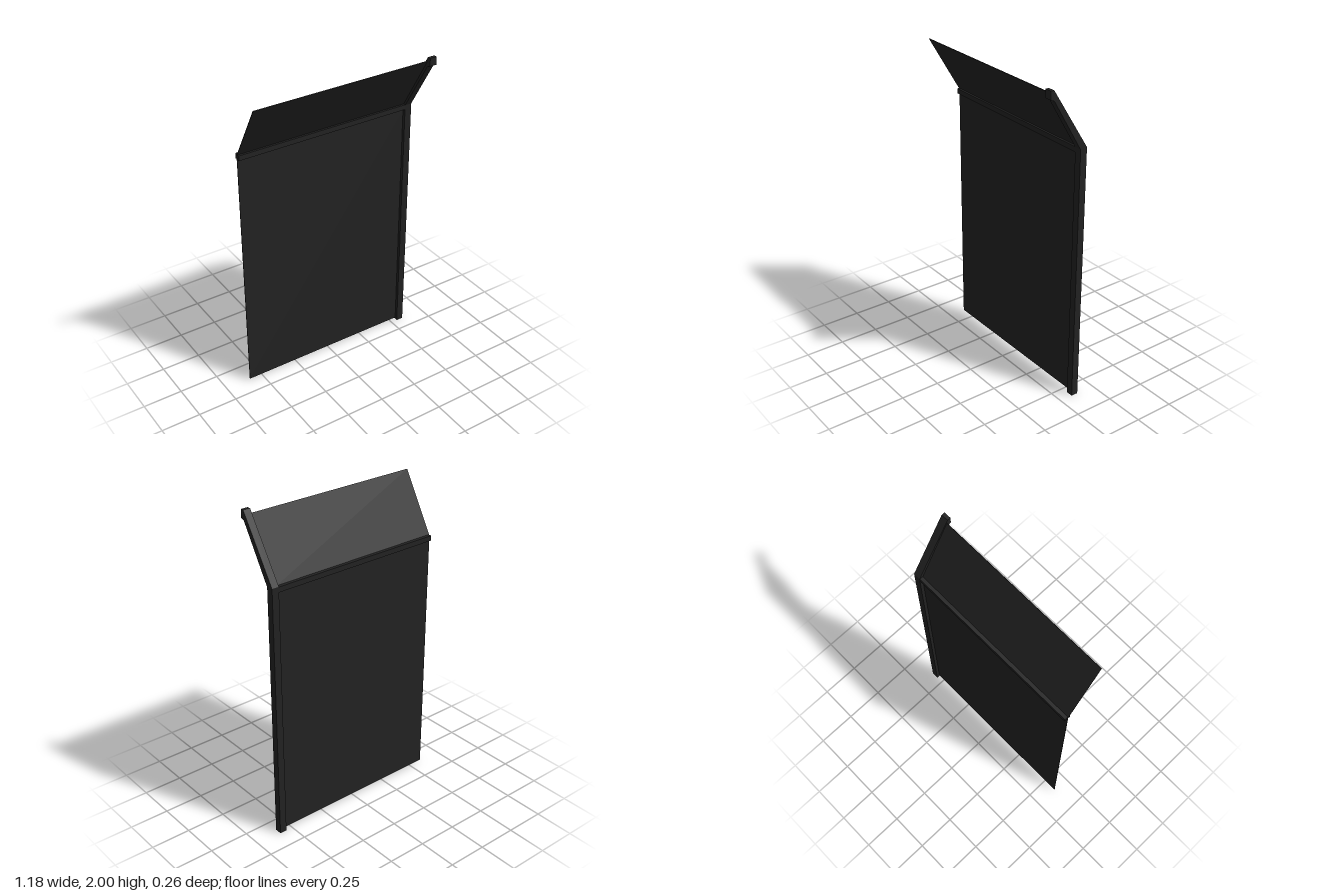
import * as THREE from 'three';

export function createModel() {
  const group = new THREE.Group();
  const charcoal = new THREE.MeshStandardMaterial({ color: 0x222222 });
  charcoal.name = 'charcoal';

  const add = (name, geometry) => {
    const mesh = new THREE.Mesh(geometry, charcoal);
    mesh.name = name;
    group.add(mesh);
    return mesh;
  };

  // Bent post with a small lip at its tip: side profile as (z, y), extruded along x
  const profile = [
    [-0.085, 0], [-0.085, 1.62], [0.105, 1.94], [0.129, 1.95], [0.129, 2],
    [0.108, 2], [0.097, 1.983], [-0.129, 1.625], [-0.129, 0],
  ].map(([z, y]) => new THREE.Vector2(z, y));
  const post = new THREE.ExtrudeGeometry(new THREE.Shape(profile), { depth: 0.045, bevelEnabled: false });
  post.rotateY(-Math.PI / 2).translate(0.589, 0, 0);
  add('bentPost', post);

  // Thin sheet between two (z, y) points of the side profile
  const sheet = (name, [z0, y0], [z1, y1]) => {
    const length = Math.hypot(z1 - z0, y1 - y0);
    const mesh = add(name, new THREE.BoxGeometry(1.15, length, 0.004));
    mesh.position.set(-0.014, (y0 + y1) / 2, (z0 + z1) / 2);
    mesh.rotation.x = Math.atan2(z1 - z0, y1 - y0);
  };
  sheet('mainPanel', [-0.107, 0.01], [-0.107, 1.6]);
  sheet('slopedPanel', [-0.107, 1.615], [0.103, 1.974]);

  // Horizontal rail where the panels meet
  const rail = add('rail', new THREE.BoxGeometry(1.14, 0.032, 0.04));
  rail.position.set(-0.016, 1.606, -0.107);

  return group;
}
